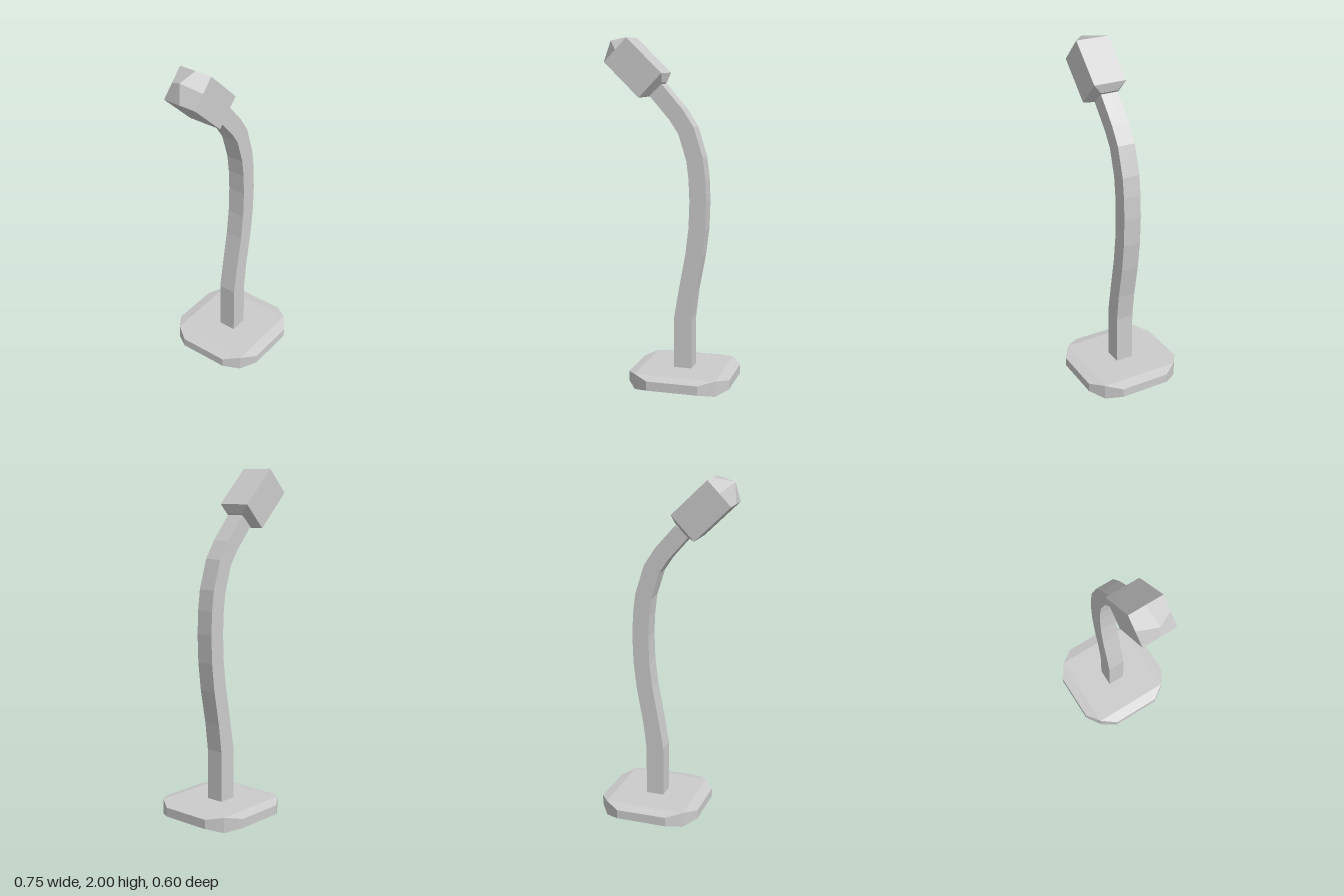
import * as THREE from 'three';

const material = new THREE.MeshStandardMaterial({ color: 0xcccccc });

// Mesh from flat polygons (arrays of [x, y, z]), one shared normal per polygon
function faceted(name, faces) {
  const pos = [], nor = [];
  for (const face of faces) {
    const p = face.map(v => new THREE.Vector3(...v));
    const n = new THREE.Vector3();
    for (let i = 0; i < p.length; i++) n.add(p[i].clone().cross(p[(i + 1) % p.length]));
    n.normalize();
    for (let i = 1; i < p.length - 1; i++)
      for (const v of [p[0], p[i], p[i + 1]]) {
        pos.push(v.x, v.y, v.z);
        nor.push(n.x, n.y, n.z);
      }
  }
  const g = new THREE.BufferGeometry();
  g.setAttribute('position', new THREE.Float32BufferAttribute(pos, 3));
  g.setAttribute('normal', new THREE.Float32BufferAttribute(nor, 3));
  const mesh = new THREE.Mesh(g, material);
  mesh.name = name;
  return mesh;
}

// Side quads joining rings listed from bottom to top, each counterclockwise from above
function loft(rings) {
  const faces = [];
  for (let r = 0; r < rings.length - 1; r++) {
    const a = rings[r], b = rings[r + 1], n = a.length;
    for (let i = 0; i < n; i++) {
      const j = (i + 1) % n;
      faces.push([a[i], a[j], b[j], b[i]]);
    }
  }
  return faces;
}

// Rectangular ring in a plane tilted around z
function rectRing(cx, cy, hx, hz, tilt = 0) {
  const c = Math.cos(tilt) * hx, s = Math.sin(tilt) * hx;
  return [[1, 1], [1, -1], [-1, -1], [-1, 1]].map(([a, b]) => [cx + a * c, cy + a * s, b * hz]);
}

// Twelve-sided foot plate with bevelled long edges
function makeBase() {
  const bottom = [], top = [];
  for (let k = 0; k < 4; k++)
    for (const [px, pz, inset] of [[0.3, 0.15, 0.02], [0.3, -0.15, 0.02], [0.238, -0.238, 0]]) {
      let x = px, z = pz;
      for (let i = 0; i < k; i++) [x, z] = [z, -x];
      bottom.push([x, inset, z]);
      top.push([x, 0.09 - inset * 0.8, z]);
    }
  const faces = loft([bottom, top]);
  const corners = [2, 5, 8, 11];
  faces.push(corners.map(i => top[i]), corners.map(i => bottom[i]).reverse());
  for (const c of corners) {
    const strip = [0, 1, 2, 3].map(i => (c + i) % 12);
    faces.push(strip.map(i => top[i]), strip.map(i => bottom[i]).reverse());
  }
  const base = faceted('base', faces);
  base.position.x = 0.078;
  return base;
}

// Square-section neck swept along a bent path
function makeNeck() {
  const path = [
    [0.077, 0.08], [0.077, 0.39], [0.102, 0.56], [0.139, 0.76], [0.158, 0.92],
    [0.163, 1.08], [0.157, 1.21], [0.143, 1.32], [0.093, 1.48], [0.034, 1.57], [-0.087, 1.708],
  ];
  const rings = path.map(([x, y], i) => {
    const a = path[Math.max(i - 1, 0)], b = path[Math.min(i + 1, path.length - 1)];
    const tilt = i === 0 ? 0 : Math.atan2(a[0] - b[0], b[1] - a[1]);
    return rectRing(x, y, i < 2 ? 0.053 : 0.049, 0.053, tilt);
  });
  return faceted('neck', loft(rings));
}

// Tilted head: tapered collar, box body and pointed end
function makeHead() {
  const head = new THREE.Group();
  head.name = 'head';
  const hx = 0.096, hz = 0.1, len = 0.285;
  const collarEnd = rectRing(0, -0.03, 0.05, 0.053);
  const low = rectRing(0, 0, hx, hz), high = rectRing(0, len, hx, hz);
  head.add(faceted('collar', [...loft([collarEnd, low]), [...collarEnd].reverse()]));
  head.add(faceted('headBody', loft([low, high])));

  // Four corner panels meeting at the apex
  const apex = [-0.005, len + 0.08, 0];
  const mid = (a, b) => a.map((v, i) => (v + b[i]) / 2);
  const tip = high.map((corner, i) => [
    corner, mid(corner, high[(i + 1) % 4]), apex, mid(high[(i + 3) % 4], corner),
  ]);
  head.add(faceted('headTip', tip));

  head.position.set(-0.105, 1.733, 0);
  head.rotation.z = 0.8;
  return head;
}

export function createModel() {
  const model = new THREE.Group();
  model.name = 'bentNeckStand';
  model.add(makeBase(), makeNeck(), makeHead());
  return model;
}
